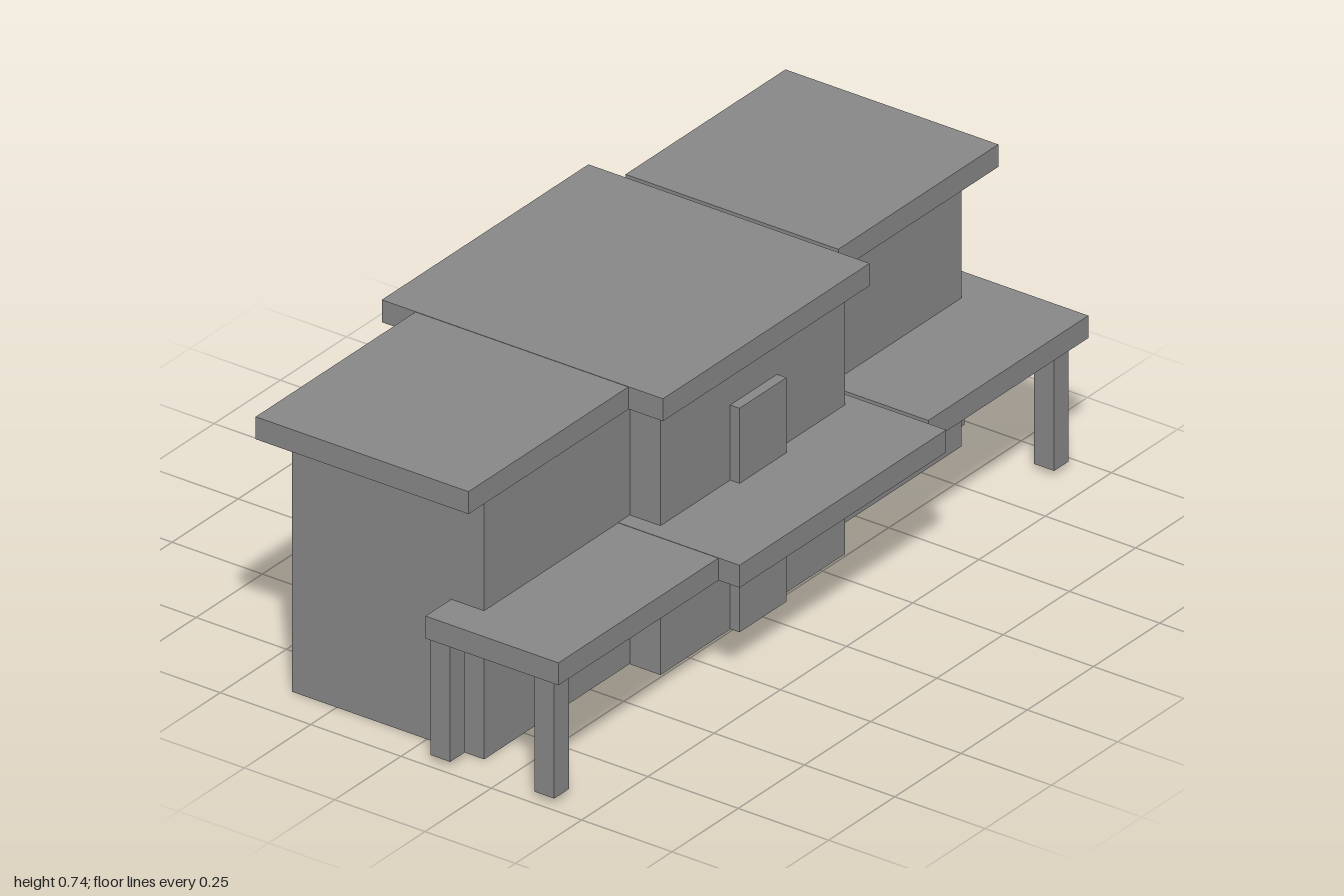
import * as THREE from 'three';

const material = new THREE.MeshStandardMaterial({ color: 0x888888, flatShading: true });

// Box given by its lower and upper limits on each axis
function block(name, [x0, x1], [y0, y1], [z0, z1]) {
  const geometry = new THREE.BoxGeometry(x1 - x0, y1 - y0, z1 - z0);
  const mesh = new THREE.Mesh(geometry, material);
  mesh.position.set((x0 + x1) / 2, (y0 + y1) / 2, (z0 + z1) / 2);
  mesh.name = name;
  return mesh;
}

export function createModel() {
  const house = new THREE.Group();
  house.name = 'house';

  // Three bays: walls, flat roof and porch roof for each; the wings sit a hair off the centre's planes
  const bays = [
    { name: 'rightWing', base: 0.001, top: 0.734, wall: [-0.903, -0.353], roof: [-1, -0.397], wallZ: [-0.372, 0.159], roofZ: [-0.402, 0.187], porchZ: [0.068, 0.436] },
    { name: 'centre', base: 0, top: 0.735, wall: [-0.353, 0.344], roof: [-0.397, 0.383], wallZ: [-0.457, 0.244], roofZ: [-0.495, 0.283], porchZ: [0.068, 0.495] },
    { name: 'leftWing', base: 0.001, top: 0.734, wall: [0.353, 0.9], roof: [0.396, 1], wallZ: [-0.372, 0.159], roofZ: [-0.402, 0.187], porchZ: [0.068, 0.436] },
  ];
  for (const { name, base, top, wall, roof, wallZ, roofZ, porchZ } of bays) {
    house.add(
      block(name + 'Walls', wall, [base, 0.697], wallZ),
      block(name + 'Roof', roof, [top - 0.057, top], roofZ),
      block(name + 'PorchRoof', roof, [top - 0.412, top - 0.355], porchZ),
    );
  }

  // Door and the window above the porch
  house.add(
    block('door', [-0.09, 0.087], [0.001, 0.197], [0.2, 0.27]),
    block('window', [-0.09, 0.087], [0.373, 0.571], [0.2, 0.27]),
  );

  // Porch posts at both ends, front and back
  for (const [side, x] of [['right', [-0.978, -0.923]], ['left', [0.909, 0.964]]]) {
    house.add(
      block(side + 'FrontPost', x, [0.015, 0.337], [0.353, 0.408]),
      block(side + 'BackPost', x, [0.015, 0.337], [0.065, 0.12]),
    );
  }
  return house;
}
